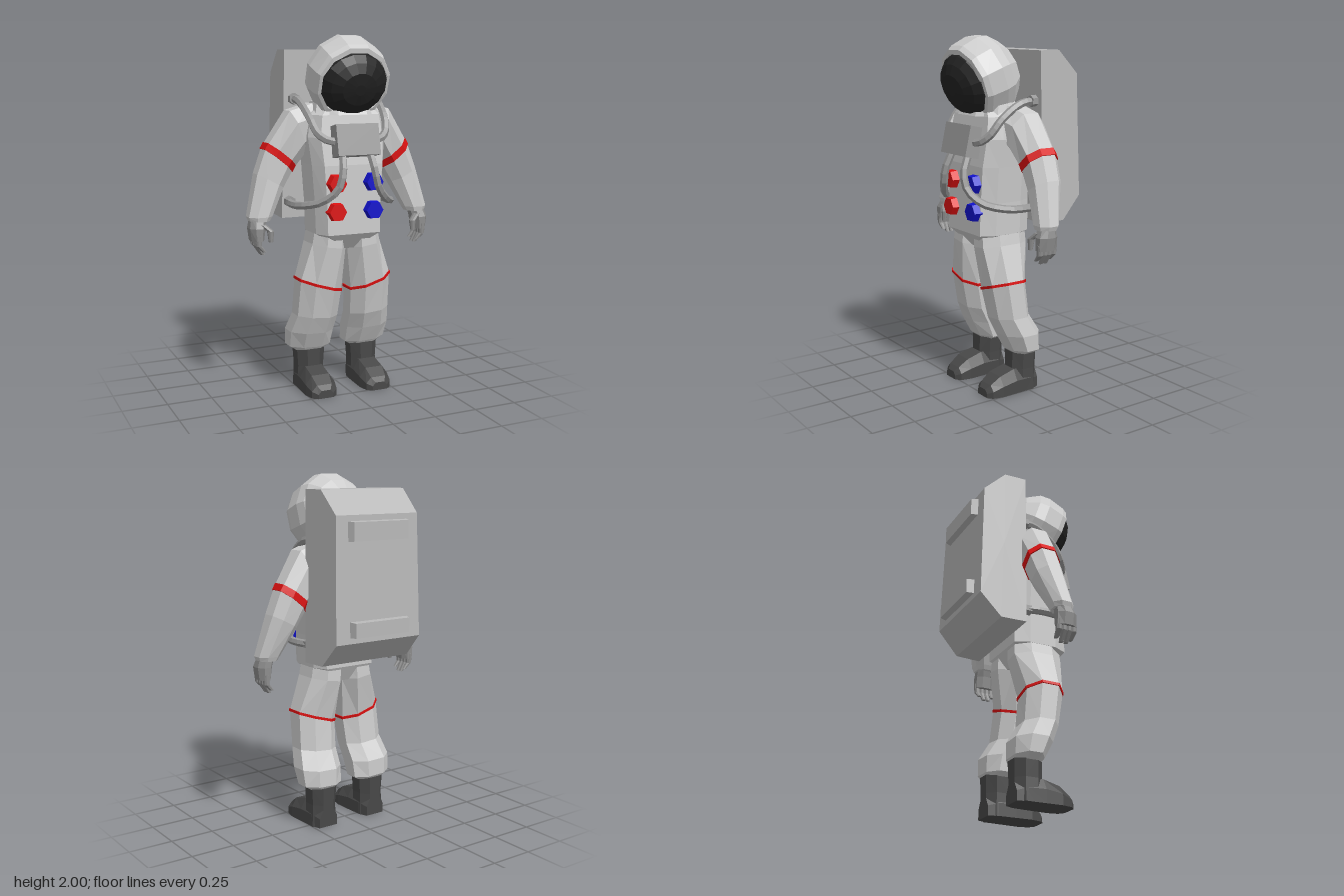
import * as THREE from 'three';

const COLORS = { suit: 0xcccccc, pack: 0xb8b8b8, glove: 0x8c8c8c, hose: 0x999999, boot: 0x484848, visor: 0x222222, red: 0xdd1111, blue: 0x1111cc };
const mats = {};
for (const k in COLORS) mats[k] = new THREE.MeshStandardMaterial({ color: COLORS[k], flatShading: true });

const V = (x, y, z) => new THREE.Vector3(x, y, z);

// Closed, capped skin through rings of points; faces are always turned outward
function loft(rings) {
  const n = rings[0].length, tris = [];
  for (let r = 0; r + 1 < rings.length; r++) {
    for (let i = 0; i < n; i++) {
      const j = (i + 1) % n, a = rings[r], b = rings[r + 1];
      tris.push([a[i], a[j], b[j]], [a[i], b[j], b[i]]);
    }
  }
  const cap = (ring, flip) => {
    const c = ring.reduce((s, p) => s.add(p), V(0, 0, 0)).divideScalar(n);
    for (let i = 0; i < n; i++) {
      const j = (i + 1) % n;
      tris.push(flip ? [c, ring[j], ring[i]] : [c, ring[i], ring[j]]);
    }
  };
  cap(rings[0], true);
  cap(rings[rings.length - 1], false);
  const volume = tris.reduce((s, [a, b, c]) => s + a.dot(b.clone().cross(c)), 0);
  if (volume < 0) tris.forEach(t => t.reverse());
  const g = new THREE.BufferGeometry().setFromPoints(tris.flat());
  g.computeVertexNormals();
  return g;
}

// Chamfered box section: half-axes u and v around c, flat share ku and kv
function section(c, u, v, ku, kv) {
  return [[1, -kv], [1, kv], [ku, 1], [-ku, 1], [-1, kv], [-1, -kv], [-ku, -1], [ku, -1]]
    .map(([a, b]) => c.clone().addScaledVector(u, a).addScaledVector(v, b));
}

// Limb from rows of [outer x, outer y, inner x, inner y, front z, back z], grown by g
function limb(rows, s = 1, ku = 0.45, kv = 0.45, g = 0) {
  return loft(rows.map(([ox, oy, ix, iy, zf, zb]) => {
    const u = V((ox - ix) / 2 * s, (oy - iy) / 2, 0);
    u.setLength(u.length() + g);
    return section(V((ox + ix) / 2 * s, (oy + iy) / 2, (zf + zb) / 2), u, V(0, 0, (zf - zb) / 2 + g), ku, kv);
  }));
}

// Helmet frame: the face opening tilts slightly downward
const helmetRing = ([t, rx, ry], n) => Array.from({ length: n }, (_, i) => {
  const a = (i + 0.5) / n * Math.PI * 2, y = Math.sin(a) * ry;
  return V(Math.cos(a) * rx, 1.775 - 0.33 * t + 0.94 * y, 0.14 + 0.94 * t + 0.33 * y);
});
const helmetLoft = (rows, n) => loft(rows.map(r => helmetRing(r, n)));

export function createModel() {
  const model = new THREE.Group();
  const add = (name, geometry, mat, parent = model) => {
    const m = new THREE.Mesh(geometry, mats[mat]);
    m.name = name;
    parent.add(m);
    return m;
  };
  const group = name => {
    const g = new THREE.Group();
    g.name = name;
    model.add(g);
    return g;
  };

  // Jacket, from crotch flap to neck: y, half width, front z, back z
  const torso = [[0.83, 0.04, 0.2, 0], [0.92, 0.195, 0.27, -0.05], [1.1, 0.2, 0.265, -0.05], [1.3, 0.215, 0.26, -0.05],
    [1.45, 0.23, 0.24, -0.06], [1.57, 0.21, 0.22, -0.06], [1.63, 0.14, 0.2, -0.03]];
  add('torso', limb(torso.map(([y, w, f, b]) => [w, y, -w, y, f, b]), 1, 0.8, 0.5), 'suit');
  add('collar', limb([[0.19, 1.57, -0.19, 1.57, 0.25, -0.03], [0.17, 1.64, -0.17, 1.64, 0.22, -0.02]], 1), 'suit');

  // Helmet with an inset rim, and the dark visor
  const helmet = group('helmet');
  add('helmetShell', helmetLoft([[0.1, 0.192, 0.178], [0.135, 0.195, 0.182], [0.13, 0.212, 0.208], [0.1, 0.222, 0.222],
    [0, 0.225, 0.235], [-0.06, 0.212, 0.222], [-0.13, 0.165, 0.16], [-0.175, 0.085, 0.08]], 12), 'suit', helmet);
  add('visor', helmetLoft([[0.11, 0.194, 0.18], [0.14, 0.188, 0.172], [0.18, 0.155, 0.14], [0.208, 0.1, 0.09],
    [0.218, 0.03, 0.03]], 16), 'visor', helmet);

  // Life-support pack: side profile swept across x, narrowing to the back and top
  const pack = group('backpack');
  const profile = [[-0.04, 1.92], [-0.17, 1.92], [-0.3, 1.79], [-0.32, 1.11], [-0.2, 0.98], [-0.05, 0.98]];
  add('packBody', loft([-1, 1].map(s => profile.map(([z, y]) => V(s * (0.305 + 0.06 * z - 0.02 * (y - 0.98)), y, z)))), 'pack', pack);
  for (const [y, h, z] of [[1.705, 0.11, -0.34], [1.185, 0.09, -0.358]]) {
    const bar = (w, hh, zz) => [V(-w, y - hh, zz), V(w, y - hh, zz), V(w, y + hh, zz), V(-w, y + hh, zz)];
    add('packBar', loft([bar(0.2, h / 2, -0.29), bar(0.18, h / 2 - 0.005, z)]), 'pack', pack);
  }

  // Chest control box
  const box = add('chestBox', new THREE.BoxGeometry(0.25, 0.17, 0.085), 'hose');
  box.position.set(0, 1.435, 0.28);
  box.rotation.x = -0.22;

  for (const s of [1, -1]) {
    const side = s > 0 ? 'left' : 'right';

    // Sleeve and its red band
    const arm = group(side + 'Arm');
    add('sleeve', limb([[0.17, 1.63, 0.16, 1.38, 0.16, -0.06], [0.3, 1.59, 0.21, 1.36, 0.14, -0.07],
      [0.432, 1.39, 0.275, 1.27, 0.11, -0.073], [0.485, 1.25, 0.335, 1.17, 0.11, -0.06],
      [0.545, 1.02, 0.41, 1.02, 0.125, 0], [0.535, 0.995, 0.425, 0.995, 0.12, 0.01]], s), 'suit', arm);
    add('armBand', limb([[0.416, 1.414, 0.264, 1.293, 0.113, -0.073], [0.436, 1.38, 0.284, 1.257, 0.11, -0.073]],
      s, 0.45, 0.45, 0.005), 'red', arm);

    // Gloved hand: palm, four curled fingers and a thumb
    add('palm', limb([[0.53, 1.02, 0.44, 1.02, 0.105, 0.025], [0.545, 0.96, 0.455, 0.96, 0.135, 0.02],
      [0.535, 0.89, 0.465, 0.89, 0.135, 0.02]], s), 'glove', arm);
    const digit = (name, pts) => add(name, limb(pts.map(([x, y, z, r]) => [x + r, y, x - r, y, z + r, z - r]), s), 'glove', arm);
    for (let i = 0; i < 4; i++) {
      const z = 0.034 + 0.029 * i, tip = i === 0 || i === 3 ? 0.83 : 0.81;
      digit('finger', [[0.505, 0.92, z, 0.017], [0.502, 0.865, z, 0.016], [0.47, tip, z, 0.011]]);
    }
    digit('thumb', [[0.475, 0.98, 0.11, 0.02], [0.437, 0.945, 0.13, 0.018], [0.437, 0.885, 0.135, 0.011]]);

    // Trouser leg and its slanted red band
    const leg = group(side + 'Leg');
    add('trouser', limb([[0.185, 0.97, 0.005, 0.95, 0.24, -0.04], [0.205, 0.86, 0.005, 0.83, 0.245, -0.045],
      [0.272, 0.66, 0.03, 0.585, 0.222, 0], [0.28, 0.45, 0.04, 0.43, 0.185, -0.02],
      [0.302, 0.345, 0.045, 0.335, 0.14, -0.08], [0.295, 0.25, 0.05, 0.24, 0.09, -0.082],
      [0.24, 0.215, 0.09, 0.215, 0.07, -0.06]], s), 'suit', leg);
    add('legBand', limb([[0.271, 0.667, 0.029, 0.593, 0.223, -0.001], [0.273, 0.652, 0.031, 0.578, 0.221, 0]],
      s, 0.45, 0.45, 0.005), 'red', leg);

    // Boot: shaft, then the foot from heel to toe
    const boot = group(side + 'Boot');
    add('bootShaft', limb([[0.25, 0, 0.09, 0, 0.08, -0.075], [0.245, 0.13, 0.09, 0.13, 0.085, -0.075],
      [0.252, 0.232, 0.082, 0.232, 0.085, -0.078]], s), 'boot', boot);
    add('bootFoot', loft([[-0.075, 0.06, 0.1], [-0.02, 0.08, 0.13], [0.085, 0.085, 0.135], [0.18, 0.088, 0.11],
      [0.24, 0.075, 0.07], [0.265, 0.045, 0.045]].map(([z, w, h]) =>
      [[w, 0], [w, h * 0.55], [w * 0.6, h], [-w * 0.6, h], [-w, h * 0.55], [-w, 0]]
        .map(([x, y]) => V(s * 0.168 + x, y, z)))), 'boot', boot);

    // Air hoses from the pack to the chest box, with couplings at the pack
    const hoses = group(side + 'Hoses');
    const hose = (name, pts) => add(name, new THREE.TubeGeometry(
      new THREE.CatmullRomCurve3(pts.map(([x, y, z]) => V(s * x, y, z))), 14, 0.022, 6), 'hose', hoses);
    hose('upperHose', [[0.235, 1.65, -0.05], [0.235, 1.64, 0.05], [0.225, 1.56, 0.17], [0.205, 1.48, 0.23], [0.16, 1.44, 0.265], [0.1, 1.43, 0.28]]);
    hose('lowerHose', [[0.08, 1.38, 0.285], [0.095, 1.27, 0.33], [0.12, 1.18, 0.325], [0.19, 1.11, 0.275], [0.27, 1.08, 0.17],
      [0.285, 1.075, 0.06], [0.26, 1.075, -0.06]]);
    for (const [x, y] of [[0.235, 1.65], [0.262, 1.075]]) {
      const c = add('coupling', new THREE.CylinderGeometry(0.032, 0.032, 0.04, 6).rotateX(Math.PI / 2), 'hose', hoses);
      c.position.set(s * x, y, -0.028);
    }

    // Hexagonal chest connectors: blue on the left, red on the right
    for (const y of [1.205, 1.05]) {
      const c = add('connector', new THREE.CylinderGeometry(0.05, 0.057, 0.05, 6).rotateY(Math.PI / 6).rotateX(Math.PI / 2), s > 0 ? 'blue' : 'red');
      c.position.set(s * 0.11, y, 0.28);
    }
  }
  return model;
}
